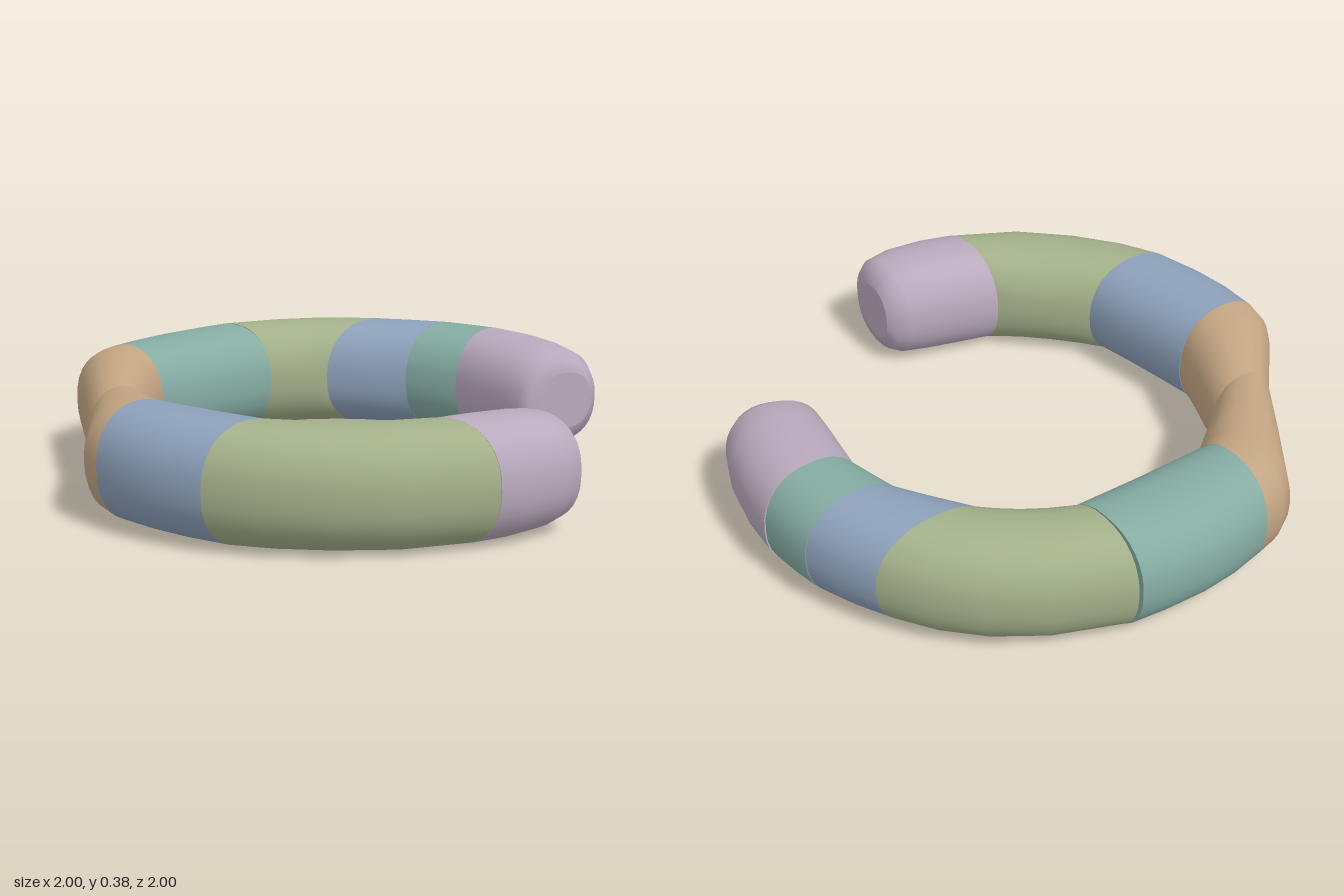
import * as THREE from 'three';

const mat = (name, color) => {
  const m = new THREE.MeshStandardMaterial({ color });
  m.name = name;
  return m;
};

const SIDES = 32;
const MID_Y = 0.193;
const HALF_H = 0.191;
const ROUND = 0.88; // below 1 squares the cross-section slightly

const soft = (v) => Math.sign(v) * Math.pow(Math.abs(v), ROUND);

// Each station is [innerX, innerZ, outerX, outerZ, halfHeight?]
function segment(name, stations, material) {
  const pos = [];
  const index = [];
  const ring = ([ix, iz, ox, oz, h = HALF_H]) => {
    const start = pos.length / 3;
    for (let j = 0; j < SIDES; j++) {
      const t = (j / SIDES) * Math.PI * 2;
      const c = soft(Math.cos(t)) / 2;
      pos.push((ix + ox) / 2 + (ox - ix) * c, MID_Y + h * soft(Math.sin(t)), (iz + oz) / 2 + (oz - iz) * c);
    }
    return start;
  };
  // Side wall
  const starts = stations.map(ring);
  for (let i = 0; i < starts.length - 1; i++) {
    for (let j = 0; j < SIDES; j++) {
      const k = (j + 1) % SIDES;
      const a = starts[i] + j, b = starts[i + 1] + j;
      const c = starts[i] + k, d = starts[i + 1] + k;
      index.push(a, b, c, b, d, c);
    }
  }
  // Flat caps with their own vertices, so the cut edges stay sharp
  [stations[0], stations[stations.length - 1]].forEach((s, end) => {
    const r = ring(s);
    const centre = pos.length / 3;
    pos.push((s[0] + s[2]) / 2, MID_Y, (s[1] + s[3]) / 2);
    for (let j = 0; j < SIDES; j++) {
      const a = r + j, b = r + ((j + 1) % SIDES);
      if (end) index.push(centre, b, a);
      else index.push(centre, a, b);
    }
  });
  const geo = new THREE.BufferGeometry();
  geo.setAttribute('position', new THREE.Float32BufferAttribute(pos, 3));
  geo.setIndex(index);
  geo.computeVertexNormals();
  const mesh = new THREE.Mesh(geo, material);
  mesh.name = name;
  return mesh;
}

export function createModel() {
  const lavender = mat('lavender', 0xb9aabd);
  const teal = mat('teal', 0x85aca3);
  const blue = mat('blue', 0x8da1ba);
  const green = mat('green', 0xa4b08a);
  const tan = mat('tan', 0xc3a582);

  const group = new THREE.Group();
  group.name = 'openSegmentedRing';
  const add = (name, material, stations) => group.add(segment(name, stations, material));

  // Rear arm, from the open tip towards the right side
  add('rearTip', lavender, [
    [0.335, -0.66, 0.41, -0.84, 0.1],
    [0.315, -0.608, 0.402, -0.875, 0.145],
    [0.28, -0.59, 0.36, -0.915, 0.172],
    [0.2, -0.6, 0.25, -0.96, 0.184],
    [0.08, -0.62, 0.1, -0.99],
    [-0.05, -0.64, -0.05, -1.0],
  ]);
  add('rearBand', teal, [
    [-0.05, -0.64, -0.05, -0.995],
    [-0.15, -0.615, -0.15, -0.985],
    [-0.25, -0.59, -0.25, -0.968],
  ]);
  add('rearBlueSegment', blue, [
    [-0.25, -0.59, -0.25, -0.966],
    [-0.37, -0.505, -0.37, -0.924],
    [-0.49, -0.42, -0.49, -0.865],
  ]);
  add('rearGreenSegment', green, [
    [-0.49, -0.42, -0.49, -0.865],
    [-0.515, -0.378, -0.63, -0.775],
    [-0.542, -0.335, -0.755, -0.655],
    [-0.57, -0.285, -0.87, -0.485],
    [-0.6, -0.235, -0.97, -0.235],
  ]);

  // Right side
  add('sideTealSegment', teal, [
    [-0.598, -0.235, -0.978, -0.225],
    [-0.598, -0.1, -0.993, -0.1],
    [-0.598, 0.03, -0.998, 0.03],
    [-0.598, 0.16, -0.985, 0.16],
    [-0.6, 0.285, -0.955, 0.285],
  ]);

  // Narrow pinched joint
  add('rearTanSegment', tan, [
    [-0.6, 0.285, -0.955, 0.285],
    [-0.575, 0.318, -0.935, 0.37, 0.19],
    [-0.55, 0.345, -0.9, 0.43, 0.188],
    [-0.49, 0.425, -0.66, 0.598, 0.17],
    [-0.43, 0.5, -0.43, 0.755, 0.152],
  ]);
  add('frontTanSegment', tan, [
    [-0.43, 0.5, -0.43, 0.755, 0.152],
    [-0.32, 0.545, -0.32, 0.855, 0.168],
    [-0.22, 0.585, -0.225, 0.94, 0.18],
    [-0.17, 0.605, -0.18, 0.97, 0.186],
    [-0.11, 0.627, -0.11, 0.985],
  ]);

  // Front arm, towards the other open tip
  add('frontBlueSegment', blue, [
    [-0.11, 0.625, -0.11, 0.985],
    [0.03, 0.602, 0.03, 0.995],
    [0.17, 0.58, 0.17, 0.982],
    [0.32, 0.555, 0.32, 0.945],
  ]);
  add('frontGreenSegment', green, [
    [0.32, 0.555, 0.32, 0.945],
    [0.37, 0.505, 0.48, 0.867],
    [0.43, 0.445, 0.645, 0.745],
    [0.5, 0.375, 0.81, 0.57],
    [0.56, 0.315, 0.94, 0.315],
  ]);
  add('frontTip', lavender, [
    [0.558, 0.315, 0.942, 0.315],
    [0.592, 0.19, 0.978, 0.205],
    [0.622, 0.085, 0.998, 0.07, 0.186],
    [0.645, 0.0, 0.988, -0.01, 0.174],
    [0.67, -0.045, 0.965, -0.04, 0.15],
    [0.71, -0.07, 0.91, -0.052, 0.1],
  ]);

  return group;
}
